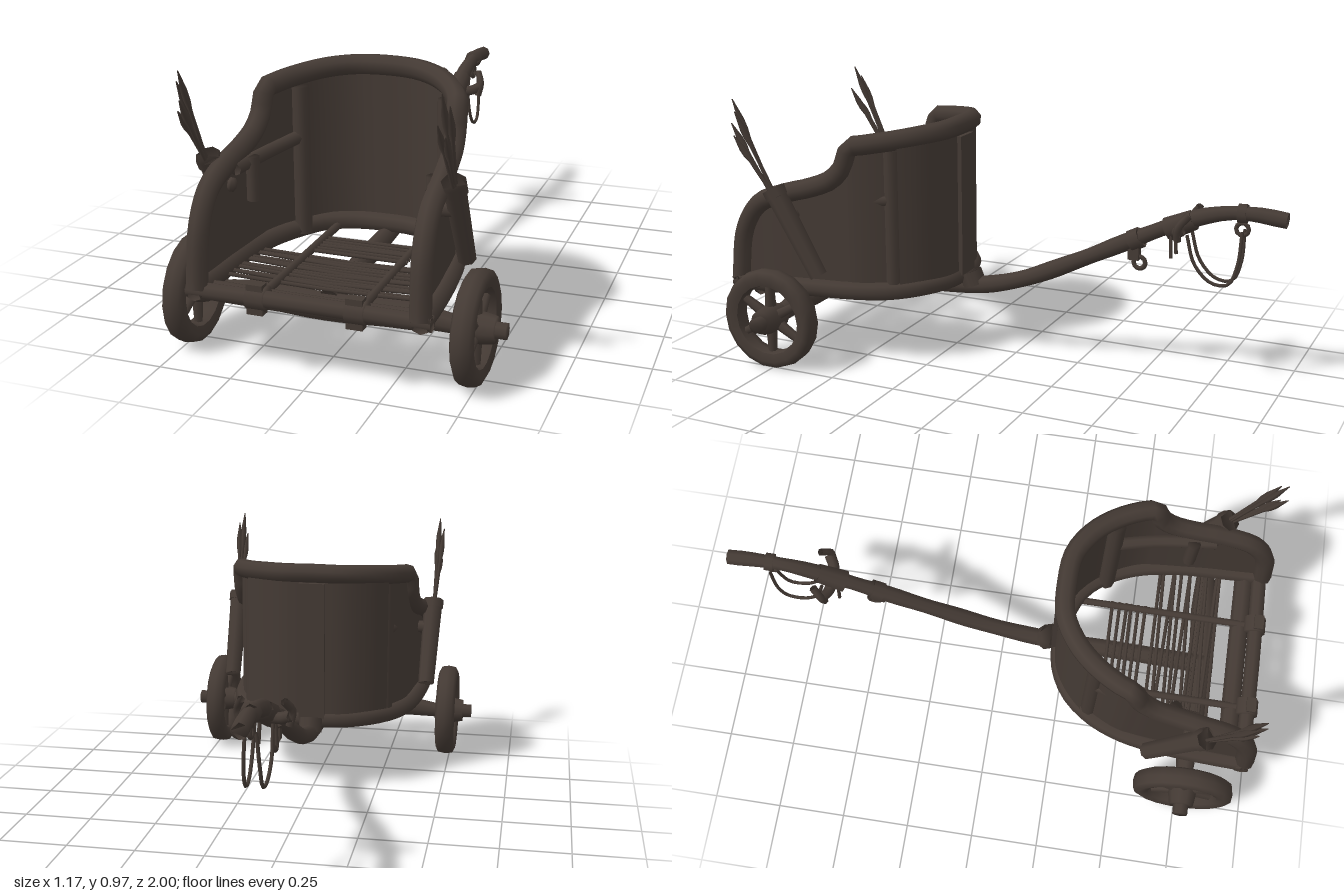
import * as THREE from 'three';

const wood = new THREE.MeshStandardMaterial({ color: 0x443a34, side: THREE.DoubleSide });
wood.name = 'dark wood';

const V = (x, y, z) => new THREE.Vector3(x, y, z);

export function createModel() {
  const root = new THREE.Group();
  root.name = 'chariot';

  const add = (name, geo, parent = root) => {
    const m = new THREE.Mesh(geo, wood);
    m.name = name;
    parent.add(m);
    return m;
  };

  // Capped round beam along a smooth path; radius may vary with t
  const beam = (pts, radius, segs = 1, sides = 8) => {
    const path = pts.length === 2 ? new THREE.LineCurve3(...pts) : new THREE.CatmullRomCurve3(pts, false, 'centripetal');
    const g = new THREE.TubeGeometry(path, segs, 1, sides, false);
    const p = g.attributes.position, n = g.attributes.normal, ring = sides + 1;
    for (let i = 0; i < p.count; i++) {
      const t = Math.floor(i / ring) / segs;
      const r = typeof radius === 'function' ? radius(t) : radius;
      p.setXYZ(i, p.getX(i) + n.getX(i) * (r - 1), p.getY(i) + n.getY(i) * (r - 1), p.getZ(i) + n.getZ(i) * (r - 1));
    }
    const idx = Array.from(g.index.array), e = segs * ring;
    for (let j = 1; j < sides - 1; j++) idx.push(0, j, j + 1, e, e + j + 1, e + j);
    g.setIndex(idx);
    return g;
  };
  const box = (w, h, d, x, y, z) => new THREE.BoxGeometry(w, h, d).translate(x, y, z);
  const mirrorPath = half => [...half.slice(1).reverse().map(([x, y, z]) => V(-x, y, z)), ...half.map(a => V(...a))];

  // Top rail: curved front, stepping down to the rear posts
  const railPts = mirrorPath([
    [0, .86, .225], [.11, .857, .235], [.2, .85, .285], [.27, .838, .36], [.32, .825, .45], [.335, .815, .495],
    [.34, .735, .53], [.345, .69, .575], [.352, .655, .66], [.36, .63, .75], [.365, .58, .87],
    [.368, .48, .935], [.37, .28, .965]]);
  add('topRail', beam(railPts, .036, 72));

  // Wall sheets hanging from the rail to the floor frame
  const railCurve = new THREE.CatmullRomCurve3(railPts, false, 'centripetal');
  const wallSheet = (t0, t1, grow) => {
    const pos = [], idx = [], nu = 64, nv = 3;
    for (let i = 0; i <= nu; i++) {
      const c = railCurve.getPoint(t0 + (t1 - t0) * i / nu);
      for (let j = 0; j <= nv; j++) {
        const k = j / nv;
        pos.push(c.x * (1 + grow), .27 + (c.y - .27) * k, c.z - grow * .25);
        if (i < nu && j < nv) {
          const a = i * (nv + 1) + j, b = a + nv + 1;
          idx.push(a, a + 1, b, b, a + 1, b + 1);
        }
      }
    }
    const g = new THREE.BufferGeometry();
    g.setAttribute('position', new THREE.Float32BufferAttribute(pos, 3));
    g.setIndex(idx);
    g.computeVertexNormals();
    return g;
  };
  add('wall', wallSheet(0, 1, 0));
  add('frontHide', wallSheet(.38, .62, .05));

  // Floor frame
  add('floorFrame', beam(mirrorPath([
    [0, .285, .23], [.11, .285, .24], [.21, .285, .29], [.285, .28, .38], [.335, .28, .5],
    [.36, .28, .65], [.37, .275, .82], [.375, .275, .98]]), .034, 48));
  add('rearBar', beam([V(-.405, .27, .955), V(0, .275, .96), V(.405, .27, .955)], .028, 6));
  add('rearFloorBar', beam([V(-.35, .25, .9), V(0, .245, .9), V(.35, .25, .9)], .035, 6));
  for (const x of [-.165, .165]) {
    add('floorRunner', beam([V(x, .275, .29), V(x, .27, .95)], .014));
    add('rearLashing', box(.055, .1, .035, x, .275, .965));
    add('rearLashingWrap', beam([V(x - .03, .275, .955), V(x + .03, .275, .955)], .042, 1, 10));
  }

  // Floor slats: short in front, full width toward the rear
  for (let i = 0; i < 6; i++) {
    const z = .41 + i * .024;
    add('shortSlat', beam([V(-.18, .272, z), V(.18, .272, z + .004 * (i % 3 - 1))], .007, 1, 5));
  }
  for (let i = 0; i < 12; i++) {
    const z = .575 + i * .021, s = .012 * Math.sin(i * 2.3);
    add('longSlat', beam([V(-.35, .272, z + s), V(0, .264, z), V(.35, .272, z - s)], .007, 4, 5));
  }

  // Axle
  add('axle', beam([V(-.46, .18, .76), V(-.31, .195, .76), V(0, .19, .775), V(.31, .195, .76), V(.46, .18, .76)],
    t => .028 + .02 * Math.min(1, 4 * Math.min(t, 1 - t)), 16));

  // Draught pole
  add('pole', beam([V(0, .215, .78), V(0, .232, .5), V(0, .24, .25), V(0, .257, .12), V(0, .3, -.03), V(0, .395, -.24),
    V(0, .495, -.44), V(0, .59, -.64), V(0, .632, -.77), V(0, .642, -.88), V(0, .632, -.998)],
    t => .037 - .011 * t + .003 * Math.sin(t * 40) * t, 40));
  add('poleSocket', beam([V(0, .25, .17), V(0, .3, .19)], .045));

  // Yoke fittings and hanging straps
  const yoke = new THREE.Group();
  yoke.name = 'yoke';
  root.add(yoke);
  add('yokeCollar', beam([V(0, .555, -.58), V(0, .6, -.675)], t => .042 - .006 * t), yoke);
  add('yokeBar', beam([V(-.085, .575, -.65), V(-.05, .56, -.63), V(0, .56, -.625), V(.05, .56, -.63), V(.085, .575, -.65)], .02, 12), yoke);
  for (const s of [-1, 1]) {
    add('yokeHook', beam([V(s * .08, .54, -.64), V(s * .09, .59, -.645), V(s * .07, .63, -.675)], .014, 6, 6), yoke);
    add('yokeTie', beam([V(s * .025, .56, -.6), V(s * .03, .46, -.605)], .007, 1, 5), yoke);
    add('strap', beam([V(s * .03, .55, -.66), V(s * .032, .45, -.69), V(s * .03, .39, -.75), V(s * .028, .39, -.81),
      V(s * .026, .46, -.84), V(s * .018, .58, -.85)], .0065, 20, 5), yoke);
  }
  add('poleBand', beam([V(0, .495, -.445), V(0, .515, -.485)], .038), yoke);
  add('poleTab', box(.03, .07, .04, 0, .465, -.46), yoke);
  const ring = (r, t, y, z) => add('ring', new THREE.TorusGeometry(r, t, 6, 10).rotateY(Math.PI / 2).translate(0, y, z), yoke);
  ring(.022, .009, .42, -.48);
  ring(.022, .008, .585, -.845);
  add('frontBand', beam([V(0, .64, -.83), V(0, .641, -.86)], .034), yoke);

  // Inner posts on the front wall
  add('centrePost', box(.1, .53, .016, 0, .56, .205));

  for (const s of [-1, 1]) {
    const side = new THREE.Group();
    side.name = s > 0 ? 'leftSide' : 'rightSide';
    root.add(side);

    // Inner bracing
    add('innerPost', beam([V(s * .262, .27, .37), V(s * .262, .8, .37)], .032), side);
    add('innerRail', beam([V(s * .27, .62, .38), V(s * .31, .61, .53), V(s * .335, .61, .74)], .024, 8), side);
    add('railBlock', beam([V(s * .31, .48, .66), V(s * .31, .63, .66)], .024), side);

    // Quiver with arrows
    const low = V(s * .405, .345, .6), top = V(s * .412, .655, .775);
    add('quiver', beam([low, top], t => .032 + .006 * t, 4), side);
    add('quiverRim', beam([top.clone().lerp(low, .1), top], .042), side);
    add('quiverStrap', beam([V(s * .35, .55, .73), V(s * .43, .55, .715)], .025), side);
    const tips = [[.42, .97, .925], [.438, .93, .905], [.412, .88, .94], [.43, .84, .92]];
    for (const [x, y, z] of tips) {
      const tip = V(s * x, y, z), base = V(s * .415, .62, .765 + (z - .92) * .4);
      add('arrow', beam([base, tip], t => t < .7 ? .007 : t < .8 ? .012 : .012 - (t - .8) * .05, 10, 5), side);
    }

    // Wheel
    const wheel = new THREE.Group();
    wheel.name = 'wheel';
    wheel.position.set(s * .485, .186, .76);
    side.add(wheel);
    const rim = [[.13, -.03], [.16, -.039], [.182, -.028], [.187, 0], [.182, .028], [.16, .039], [.13, .03], [.124, 0], [.13, -.03]];
    add('rim', new THREE.LatheGeometry(rim.map(a => new THREE.Vector2(...a)), 18).rotateZ(Math.PI / 2), wheel);
    for (let i = 0; i < 6; i++) {
      const a = i * Math.PI / 3 + Math.PI / 6, c = Math.cos(a), d = Math.sin(a);
      add('spoke', beam([V(0, d * .03, c * .03), V(0, d * .14, c * .14)], t => .021 - .006 * t, 2, 6), wheel);
    }
    add('hub', beam([V(-s * .05, 0, 0), V(s * .065, 0, 0)], t => .044 + .008 * Math.sin(t * Math.PI), 6, 10), wheel);
    add('axleEnd', beam([V(s * .06, 0, 0), V(s * .1, 0, 0)], .028), wheel);
  }
  return root;
}
